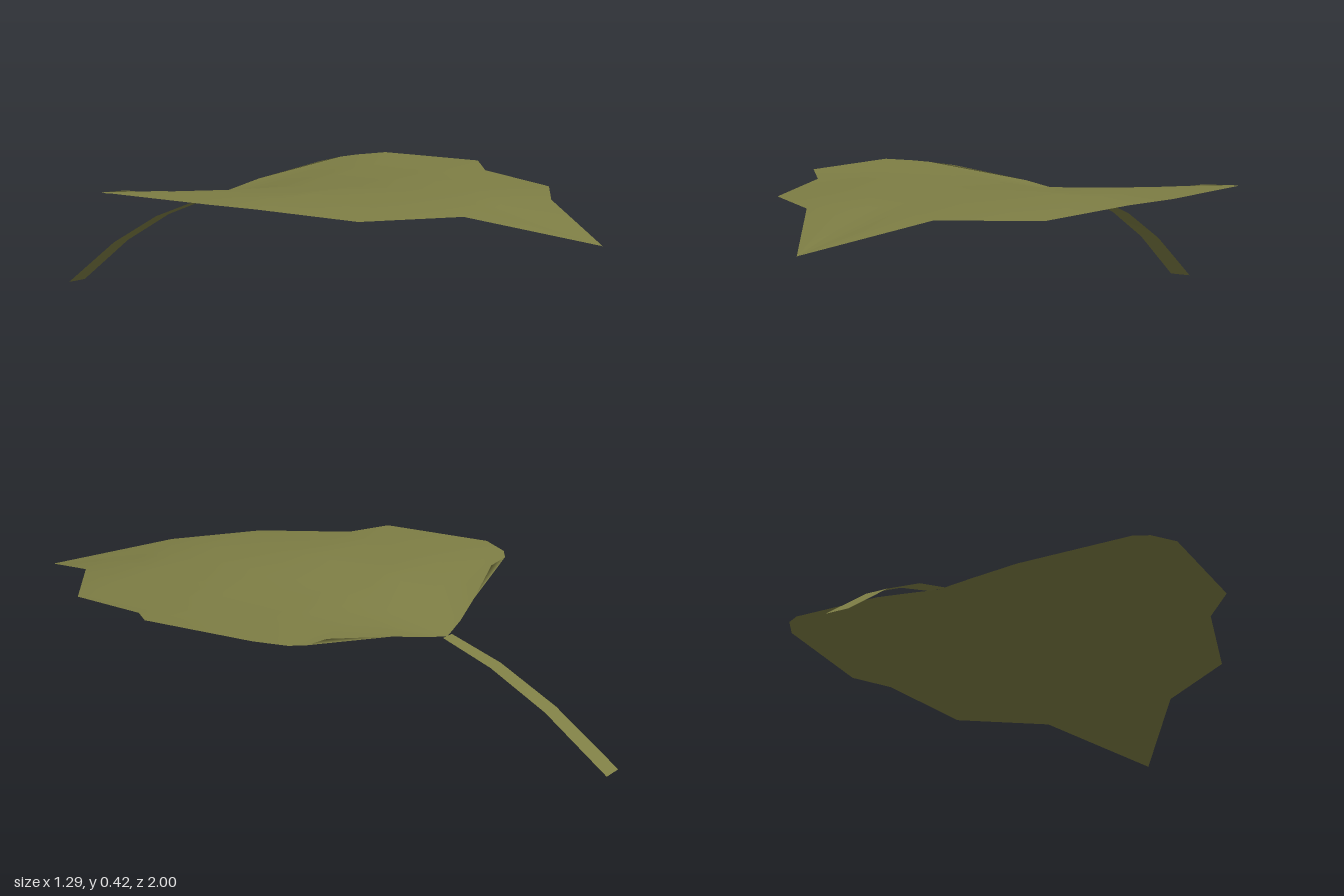
import * as THREE from 'three';

// Left half of the blade: cross-sections from stalk to tip, each from midrib to edge (x, y, z)
const TIP = [0, 0.31, 1];
const SECTIONS = [
  [[0, 0.31, -0.46], [0.1, 0.33, -0.445], [0.23, 0.36, -0.415], [0.46, 0.4, -0.345]],
  [[0, 0.345, -0.3], [0.18, 0.365, -0.3], [0.38, 0.395, -0.28], [0.555, 0.405, -0.34]],
  [[0, 0.37, -0.18], [0.2, 0.39, -0.16], [0.42, 0.405, -0.2], [0.6, 0.41, -0.31]],
  [[0, 0.39, -0.05], [0.22, 0.4, -0.09], [0.44, 0.41, -0.11], [0.645, 0.42, -0.225]],
  [[0, 0.405, 0.15], [0.22, 0.41, 0.13], [0.46, 0.415, 0.08], [0.645, 0.42, 0.14]],
  [[0, 0.412, 0.33], [0.21, 0.418, 0.21], [0.4, 0.415, 0.2], [0.555, 0.405, 0.23]],
  [[0, 0.402, 0.52], [0.16, 0.408, 0.48], [0.33, 0.4, 0.5], [0.47, 0.387, 0.52]],
  [[0, 0.385, 0.66], [0.05, 0.392, 0.63], [0.12, 0.393, 0.66], [0.22, 0.388, 0.69]],
  [TIP, TIP, TIP, TIP],
];

// Stalk centreline with half width: half, y, z
const STALK = [
  [0.036, 0, -1], [0.033, 0.15, -0.8], [0.03, 0.25, -0.62], [0.025, 0.311, -0.46],
];

// Joins rows of points into an upward-facing sheet, with diagonals mirrored about the middle
function sheet(rows) {
  const n = rows[0].length;
  const index = [];
  for (let r = 0; r < rows.length - 1; r++) {
    for (let c = 0; c < n - 1; c++) {
      const a = r * n + c, b = a + 1, d = a + n, e = d + 1;
      if (c < (n - 1) / 2) index.push(a, d, b, b, d, e);
      else index.push(a, e, b, a, d, e);
    }
  }
  const geometry = new THREE.BufferGeometry();
  geometry.setAttribute('position', new THREE.Float32BufferAttribute(rows.flat(2), 3));
  geometry.setIndex(index);
  geometry.computeVertexNormals();
  return geometry;
}

export function createModel() {
  const leafGreen = new THREE.MeshStandardMaterial({ color: 0x7d7d44, side: THREE.DoubleSide });
  leafGreen.name = 'olive green';
  const model = new THREE.Group();
  model.name = 'leaf';

  // Blade: every half section mirrored across the midrib
  const bladeRows = SECTIONS.map((half) => [
    ...half.slice(1).reverse().map(([x, y, z]) => [-x, y, z]),
    ...half,
  ]);
  const blade = new THREE.Mesh(sheet(bladeRows), leafGreen);
  blade.name = 'blade';

  // Stalk: a flat ribbon curving down to the ground
  const stalkRows = STALK.map(([w, y, z]) => [[-w, y, z], [w, y, z]]);
  const stalk = new THREE.Mesh(sheet(stalkRows), leafGreen);
  stalk.name = 'stalk';

  model.add(blade, stalk);
  return model;
}
